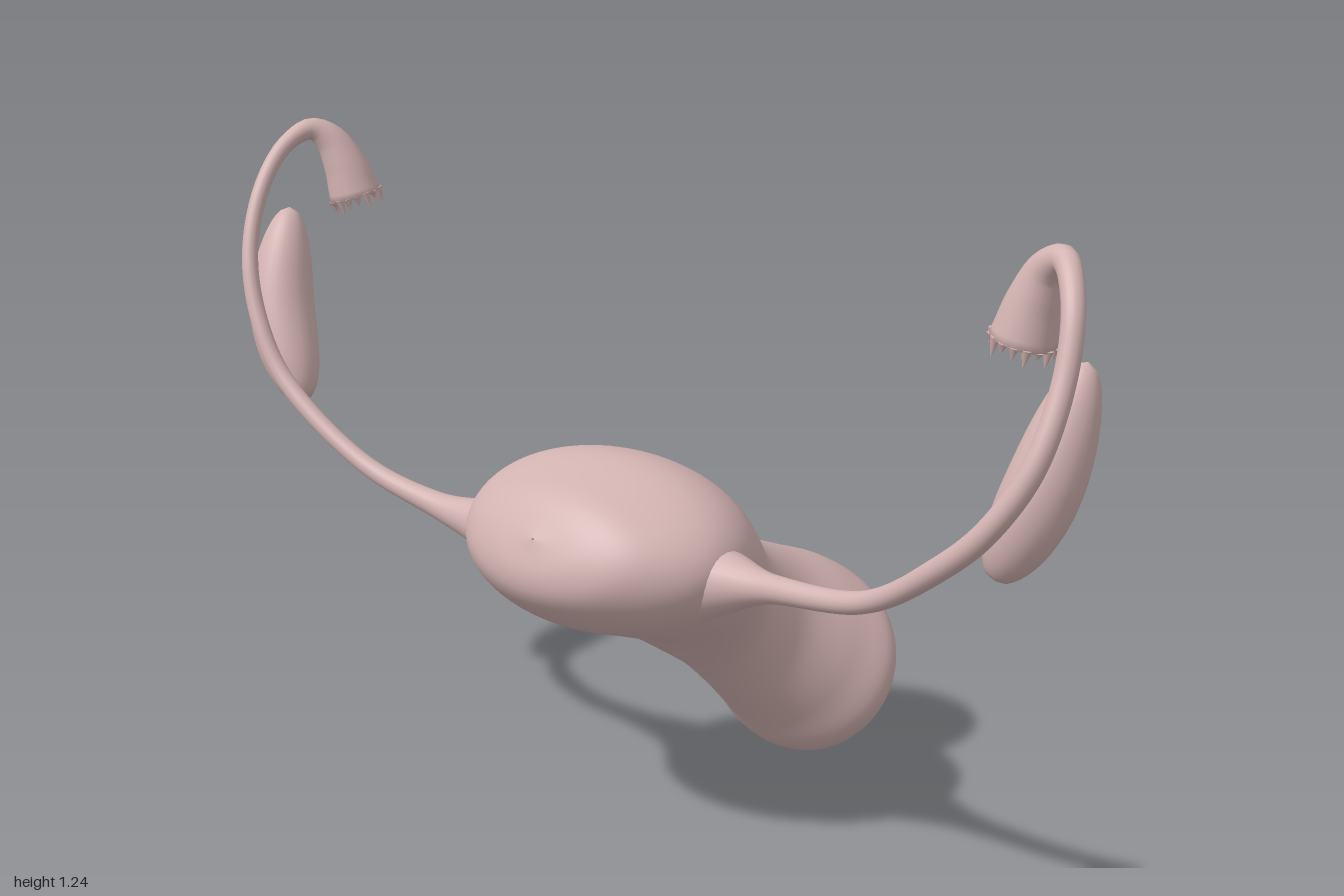
import * as THREE from 'three';

const V = (x, y, z) => new THREE.Vector3(x, y, z);
const tissue = new THREE.MeshStandardMaterial({ color: 0xd2b3b1 });
tissue.name = 'dusty pink';

// Skins a list of closed rings (each an array of points) with smooth normals.
function loft(rings) {
  const n = rings[0].length, pos = [], idx = [];
  rings.forEach((ring) => ring.forEach((p) => pos.push(p.x, p.y, p.z)));
  for (let i = 0; i < rings.length - 1; i++) {
    for (let j = 0; j < n; j++) {
      const a = i * n + j, b = i * n + ((j + 1) % n);
      idx.push(a, b, a + n, b, b + n, a + n);
    }
  }
  const g = new THREE.BufferGeometry();
  g.setAttribute('position', new THREE.Float32BufferAttribute(pos, 3));
  g.setIndex(idx);
  g.computeVertexNormals();
  return g;
}

function ringAt(c, u, v, ru, rv, n) {
  return Array.from({ length: n }, (_, j) => {
    const a = (j / n) * Math.PI * 2;
    return c.clone().addScaledVector(u, ru * Math.cos(a)).addScaledVector(v, rv * Math.sin(a));
  });
}

// Sweeps a circle of changing radius along a curve through the points.
function sweep(points, radiusAt, steps, sides) {
  const curve = new THREE.CatmullRomCurve3(points.map((p) => V(p[0], p[1], p[2])));
  const f = curve.computeFrenetFrames(steps);
  const rings = [];
  for (let i = 0; i <= steps; i++) {
    const t = curve.getUtoTmapping(i / steps);
    rings.push(ringAt(curve.getPoint(t), f.normals[i], f.binormals[i], radiusAt(t), radiusAt(t), sides));
  }
  return { rings, end: curve.getPoint(1), dir: f.tangents[steps], u: f.normals[steps], v: f.binormals[steps] };
}

function add(parent, name, geometry) {
  const m = new THREE.Mesh(geometry, tissue);
  m.name = name;
  parent.add(m);
  return m;
}

// Main body: sections along a tilted axis, ending in a dimpled opening.
// Each row: distance along axis, lower edge, upper edge, sideways offset, half width.
function bodyGeometry() {
  const rows = [
    [-0.487, -0.032, -0.028, 0, 0.003], [-0.472, -0.1, 0.05, 0, 0.12], [-0.43, -0.138, 0.105, 0, 0.21],
    [-0.34, -0.155, 0.18, 0, 0.29], [-0.23, -0.14, 0.203, 0, 0.295], [-0.1, -0.125, 0.176, 0, 0.24],
    [0.03, -0.132, 0.146, 0.005, 0.16], [0.1, -0.141, 0.139, 0.01, 0.13], [0.2, -0.165, 0.15, 0.012, 0.135],
    [0.31, -0.195, 0.165, 0.02, 0.18], [0.39, -0.222, 0.157, 0.03, 0.21], [0.445, -0.215, 0.122, 0.028, 0.185],
    [0.477, -0.165, 0.07, 0.025, 0.13], [0.483, -0.115, 0.01, 0.025, 0.07], [0.465, -0.08, -0.025, 0.025, 0.034],
    [0.425, -0.06, -0.045, 0.025, 0.008], [0.42, -0.053, -0.052, 0.025, 0.001],
  ];
  const axis = V(0, -0.496, -0.868), down = V(0, -0.868, 0.496), side = V(1, 0, 0);
  const curveOf = (f) => new THREE.CatmullRomCurve3(rows.map(f), false, 'catmullrom', 0.5);
  const edges = curveOf((r) => V(r[0], r[1], r[2])), widths = curveOf((r) => V(r[3], r[4], 0));
  const rings = [], steps = 112;
  for (let i = 0; i <= steps; i++) {
    const e = edges.getPoint(i / steps), w = widths.getPoint(i / steps);
    const c = V(w.x, 0.41, 0).addScaledVector(axis, e.x).addScaledVector(down, -(e.y + e.z) / 2);
    rings.push(ringAt(c, side, down, Math.max(w.y, 0.001), Math.max((e.z - e.y) / 2, 0.0005), 64));
  }
  return loft(rings);
}

// Tube that leaves the body, curls over and flares into a fringed bell.
function addTube(parent, name, rows) {
  const tube = new THREE.Group();
  tube.name = name;
  parent.add(tube);
  const radii = new THREE.CatmullRomCurve3(rows.map((r) => V(r[3], 0, 0)), false, 'catmullrom', 0.5);
  const s = sweep(rows, (t) => radii.getPoint(t).x, 110, 20);
  const rim = rows[rows.length - 1][3];
  // Hollow mouth
  [[0.85, 0], [0.6, 0.025], [0.01, 0.045]].forEach(([k, back]) => {
    s.rings.push(ringAt(s.end.clone().addScaledVector(s.dir, -back), s.u, s.v, rim * k, rim * k, 20));
  });
  add(tube, name + 'Duct', loft(s.rings));
  // Fringe
  const fringe = new THREE.Group();
  fringe.name = name + 'Fringe';
  tube.add(fringe);
  for (let i = 0; i < 16; i++) {
    const a = (i / 16) * Math.PI * 2, len = 0.026 + 0.012 * Math.sin(i * 2.4);
    const m = add(fringe, 'fringeFinger', new THREE.ConeGeometry(0.009, len, 6));
    m.position.copy(s.end).addScaledVector(s.u, Math.cos(a) * rim * 0.92)
      .addScaledVector(s.v, Math.sin(a) * rim * 0.92).addScaledVector(s.dir, len * 0.4);
    m.quaternion.setFromUnitVectors(V(0, 1, 0), s.dir);
  }
}

// Bean-shaped gland beside each tube.
function addOvary(parent, name, points) {
  const r = (t) => 0.001 + 0.065 * Math.pow(Math.max(0, 4 * t * (1 - t)), 0.5) * (1.04 - 0.1 * t);
  add(parent, name, loft(sweep(points, r, 48, 28).rings));
}

export function createModel() {
  const model = new THREE.Group();
  model.name = 'uterus';
  add(model, 'body', bodyGeometry());

  addTube(model, 'leftTube', [
    [0.2, 0.545, 0.24, 0.09], [0.3, 0.56, 0.245, 0.055], [0.4, 0.575, 0.26, 0.027], [0.62, 0.61, 0.29, 0.02],
    [0.8, 0.72, 0.335, 0.021], [0.9, 0.81, 0.343, 0.021], [0.963, 0.92, 0.315, 0.021], [0.977, 1.05, 0.26, 0.02],
    [0.96, 1.16, 0.215, 0.02], [0.91, 1.219, 0.165, 0.023], [0.865, 1.195, 0.145, 0.032],
    [0.838, 1.135, 0.14, 0.046], [0.822, 1.07, 0.14, 0.058],
  ]);
  addTube(model, 'rightTube', [
    [-0.2, 0.525, 0.24, 0.09], [-0.3, 0.54, 0.245, 0.05], [-0.42, 0.555, 0.255, 0.026], [-0.6, 0.61, 0.28, 0.018],
    [-0.8, 0.75, 0.3, 0.018], [-0.87, 0.86, 0.298, 0.017], [-0.915, 0.98, 0.275, 0.016], [-0.937, 1.1, 0.22, 0.016],
    [-0.94, 1.18, 0.15, 0.017], [-0.925, 1.208, 0.09, 0.022], [-0.905, 1.185, 0.058, 0.032],
    [-0.883, 1.13, 0.038, 0.044], [-0.868, 1.07, 0.028, 0.053],
  ]);

  addOvary(model, 'leftOvary', [[0.838, 0.68, 0.222], [0.9, 0.84, 0.188], [0.94, 1.05, 0.13]]);
  addOvary(model, 'rightOvary', [[-0.838, 0.68, 0.222], [-0.928, 0.85, 0.185], [-0.955, 1.05, 0.13]]);
  return model;
}
